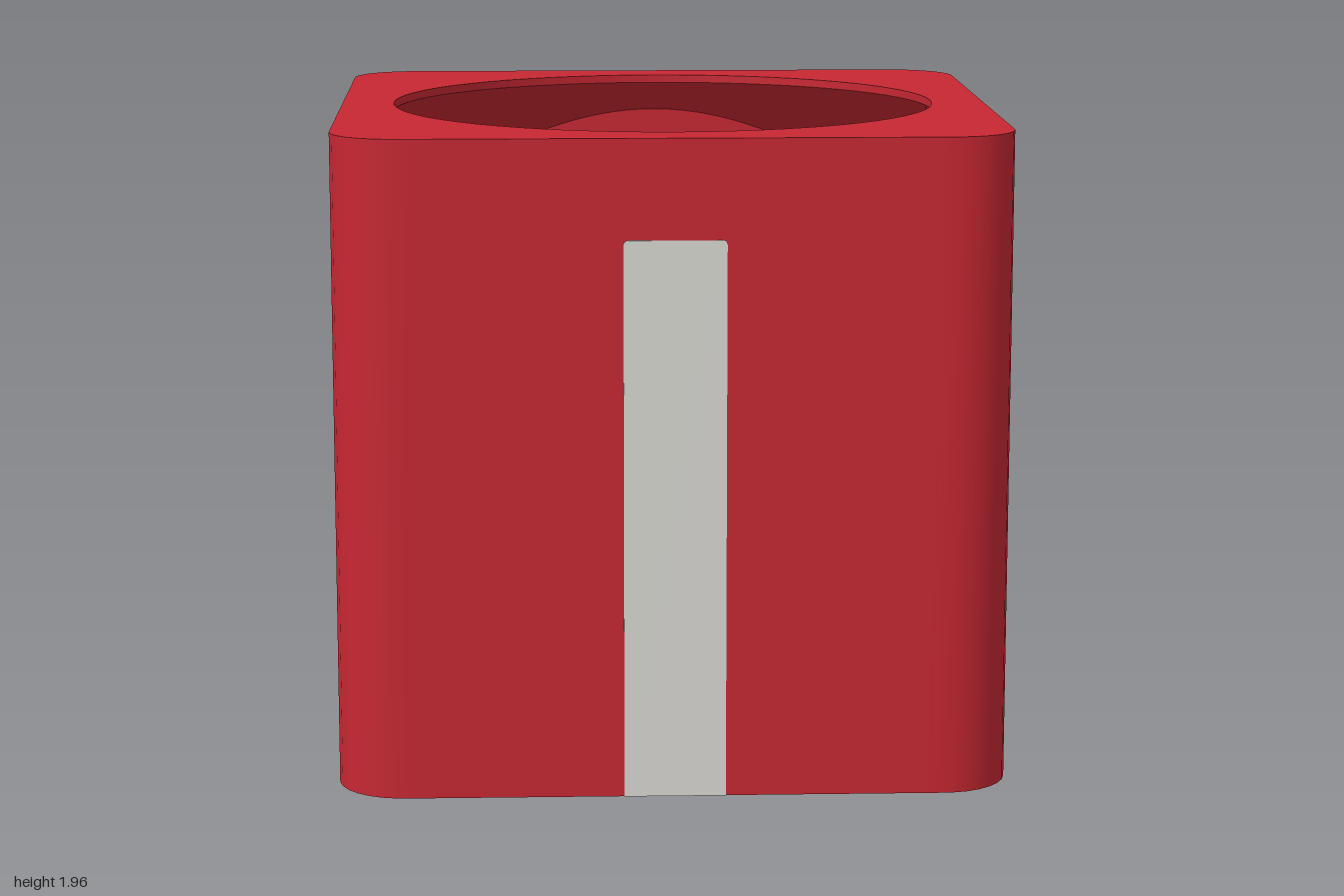
import * as THREE from 'three';

const N = 192; // points around every ring

// Radius of a rounded square (half width w, corner radius r) in direction t
function squareRadius(w, r, t) {
  const a = Math.abs(Math.sin(t)), b = Math.abs(Math.cos(t));
  const u = Math.max(a, b), v = Math.min(a, b);
  if ((v / u) * w <= w - r + 1e-6) return w / u;
  const p = w - r, d = p * (u + v);
  return d + Math.sqrt(d * d - 2 * p * p + r * r);
}

// Ring = { r(t), y(t) }; both may be given as plain numbers
const fn = (v) => (typeof v === 'function' ? v : () => v);
const ring = (r, y) => ({ r: fn(r), y: fn(y) });

// Skin consecutive rings, with a sharp edge at each ring
function loft(rings, name, material) {
  const group = new THREE.Group();
  group.name = name;
  for (let k = 0; k < rings.length - 1; k++) {
    const pos = [], idx = [];
    for (const g of [rings[k], rings[k + 1]]) {
      for (let i = 0; i < N; i++) {
        const t = (i / N) * Math.PI * 2, r = g.r(t);
        pos.push(r * Math.sin(t), g.y(t), r * Math.cos(t));
      }
    }
    for (let i = 0; i < N; i++) {
      const j = (i + 1) % N;
      idx.push(i, j, N + j, i, N + j, N + i);
    }
    const geo = new THREE.BufferGeometry();
    geo.setAttribute('position', new THREE.Float32BufferAttribute(pos, 3));
    geo.setIndex(idx);
    geo.computeVertexNormals();
    const mesh = new THREE.Mesh(geo, material);
    mesh.name = name + 'Face' + (k + 1);
    group.add(mesh);
  }
  return group;
}

export function createModel() {
  const red = new THREE.MeshStandardMaterial({ color: 0xc72732 });
  red.name = 'boxRed';
  const green = new THREE.MeshStandardMaterial({ color: 0x289150 });
  green.name = 'treeGreen';
  const white = new THREE.MeshStandardMaterial({ color: 0xdad9d3 });
  white.name = 'ribbonWhite';

  const model = new THREE.Group();
  model.name = 'giftBox';

  // Hollow box: round opening on top, sloped support below it, open underneath
  const H = 1.955, hole = 0.84, lip = 1.93;
  const outer = (t) => squareRadius(1, 0.2, t);
  const inner = (t) => squareRadius(0.94, 0.14, t);
  model.add(loft([
    ring(outer, 0), ring(outer, H), ring(hole, H), ring(hole, lip),
    ring(inner, (t) => lip - (inner(t) - hole)),
    ring(inner, 0), ring(outer, 0),
  ], 'box', red));

  // Ribbon stripe on each of the four sides
  const w = 0.15, h = 1.66, c = 0.015;
  const stripe = new THREE.Shape();
  stripe.moveTo(-w, 0);
  stripe.lineTo(w, 0);
  stripe.lineTo(w, h - c);
  stripe.quadraticCurveTo(w, h, w - c, h);
  stripe.lineTo(-w + c, h);
  stripe.quadraticCurveTo(-w, h, -w, h - c);
  const stripeGeo = new THREE.ExtrudeGeometry(stripe, { depth: 0.008, bevelEnabled: false });
  stripeGeo.translate(0, 0, 0.995);
  for (let i = 0; i < 4; i++) {
    const m = new THREE.Mesh(stripeGeo, white);
    m.name = 'ribbonStripe' + (i + 1);
    m.rotation.y = (i * Math.PI) / 2;
    model.add(m);
  }

  // Nested tree tiers: flange, steep skirt, sloped shoulder, flat top, hollow inside
  const tier = (name, profile) =>
    model.add(loft(profile.map(([r, y]) => ring(r, y)), name, green));
  tier('lowerTier', [
    [0.867, 0], [0.867, 0.04], [0.84, 0.04], [0.8, 0.26], [0.55, 0.46], [0.435, 0.46],
    [0.435, 0.38], [0.52, 0.38], [0.73, 0.22], [0.765, 0], [0.867, 0],
  ]);
  tier('middleTier', [
    [0.463, 0], [0.463, 0.04], [0.43, 0.05], [0.418, 0.5], [0.25, 0.7], [0.14, 0.7],
    [0.14, 0.62], [0.22, 0.62], [0.35, 0.46], [0.375, 0], [0.463, 0],
  ]);

  // Tree tip with a square socket in its top and a bore underneath
  const socket = (t) => squareRadius(0.05, 0, t);
  model.add(loft([
    ring(0.18, 0), ring(0.18, 0.04), ring(0.135, 0.06), ring(0.132, 0.73),
    ring(0.085, 0.82), ring(socket, 0.82), ring(socket, 0.74), ring(0, 0.74),
  ], 'treeTip', green));
  model.add(loft([
    ring(0, 0.62), ring(0.08, 0.62), ring(0.1, 0), ring(0.18, 0),
  ], 'treeTipBore', green));

  return model;
}
